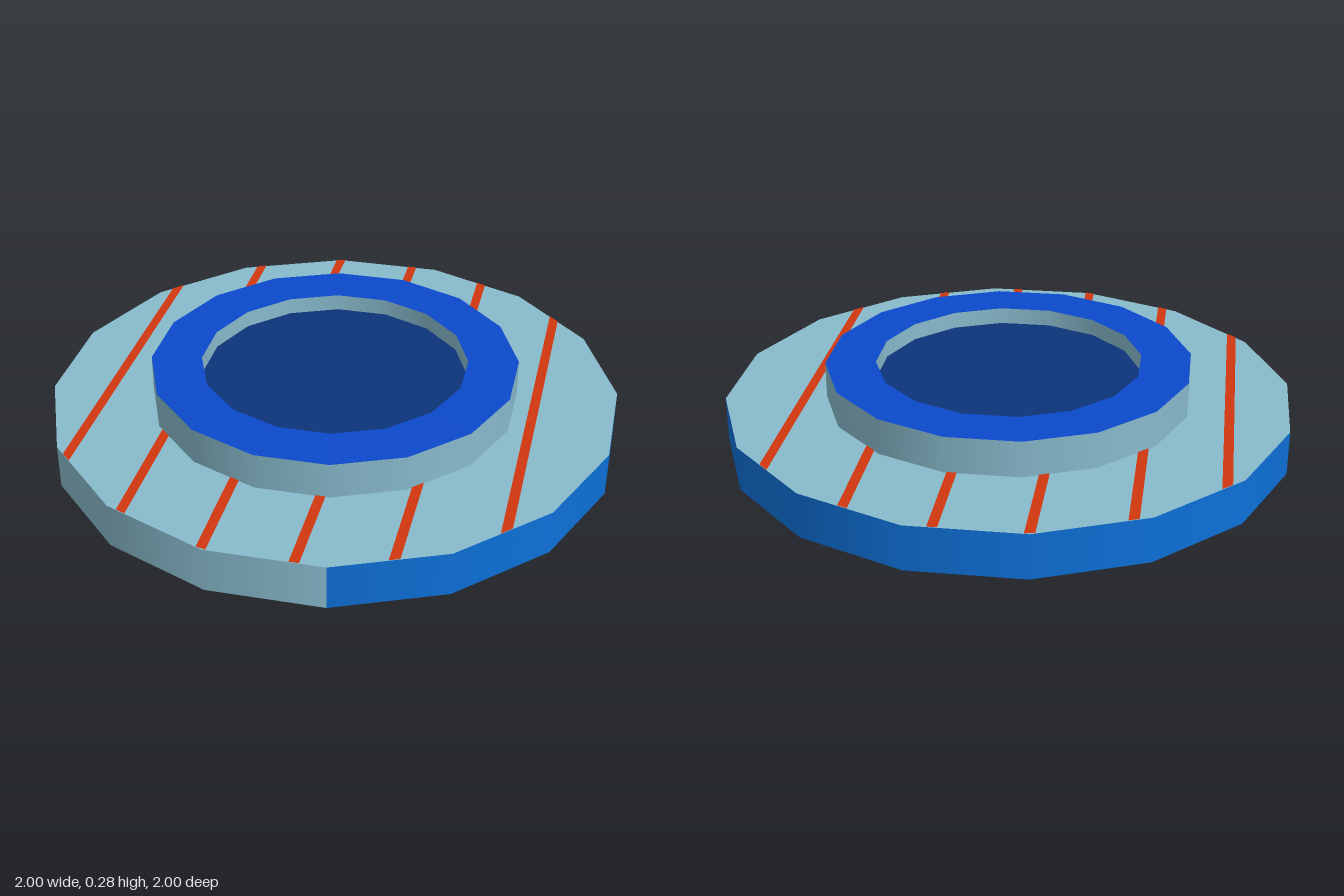
import * as THREE from 'three';

const SIDES = 16;
const STEP = (Math.PI * 2) / SIDES;
const BASE_TOP = 0.158, RIM_TOP = 0.285, WELL_FLOOR = 0.225;
const BASE_R = 1, RIM_R = 0.645, WELL_R = 0.468;

function material(name, color) {
  const m = new THREE.MeshStandardMaterial({ color });
  m.name = name;
  return m;
}

// Straight wall; goes from y0 to y1, facing outward when ascending and inward when descending
function wall(radius, y0, y1, firstSide = 0, sides = SIDES) {
  const profile = [new THREE.Vector2(radius, y0), new THREE.Vector2(radius, y1)];
  return new THREE.LatheGeometry(profile, sides, firstSide * STEP, sides * STEP);
}

function disc(radius, y, inner = 0) {
  const g = inner
    ? new THREE.RingGeometry(inner, radius, SIDES)
    : new THREE.CircleGeometry(radius, SIDES);
  return g.rotateX(-Math.PI / 2).translate(0, y, 0);
}

// Ends of the line z = slope * x + c inside the sixteen-sided base
function chord(slope, c) {
  let lo = -2, hi = 2;
  const apothem = BASE_R * Math.cos(STEP / 2);
  for (let i = 0; i < SIDES; i++) {
    const a = (i + 0.5) * STEP;
    const k = Math.cos(a) + Math.sin(a) * slope;
    const x = (apothem - Math.sin(a) * c) / k;
    if (k > 0) hi = Math.min(hi, x);
    else lo = Math.max(lo, x);
  }
  return [lo, hi].map((x) => [x, slope * x + c]);
}

// Flat diagonal band clipped to the base outline
function stripe(c) {
  const slope = -0.663, half = 0.02;
  const [a, b] = chord(slope, c - half);
  const [d, e] = chord(slope, c + half);
  const shape = new THREE.Shape([d, e, b, a].map(([x, z]) => new THREE.Vector2(x, -z)));
  return new THREE.ShapeGeometry(shape).rotateX(-Math.PI / 2).translate(0, BASE_TOP + 0.002, 0);
}

export function createModel() {
  const model = new THREE.Group();
  model.name = 'stripedDisc';
  const paleBlue = material('pale blue', 0x88bacc);
  const blue = material('bright blue', 0x0d70d8);
  const royal = material('royal blue', 0x0c48cc);
  const navy = material('navy', 0x0c347a);
  const red = material('red', 0xd0370f);

  const add = (name, geometry, mat, parent = model) => {
    const mesh = new THREE.Mesh(geometry, mat);
    mesh.name = name;
    parent.add(mesh);
  };

  // Base disc, with three pale sides on its right
  add('baseTop', disc(BASE_R, BASE_TOP), paleBlue);
  add('baseBottom', disc(BASE_R, 0).rotateX(Math.PI), paleBlue);
  add('baseSide', wall(BASE_R, 0, BASE_TOP, -2, 13), blue);
  add('basePaleSide', wall(BASE_R, 0, BASE_TOP, -5, 3), paleBlue);

  // Raised rim around a shallow well
  add('rimOuterWall', wall(RIM_R, BASE_TOP, RIM_TOP), paleBlue);
  add('rimInnerWall', wall(WELL_R, RIM_TOP, WELL_FLOOR), paleBlue);
  add('rimTop', disc(RIM_R, RIM_TOP, WELL_R), royal);
  add('wellFloor', disc(WELL_R, WELL_FLOOR), navy);

  // Diagonal stripes
  const stripes = new THREE.Group();
  stripes.name = 'stripes';
  for (const c of [-0.933, -0.6, -0.237, 0.117, 0.47, 0.845]) add('stripe', stripe(c), red, stripes);
  model.add(stripes);

  return model;
}
